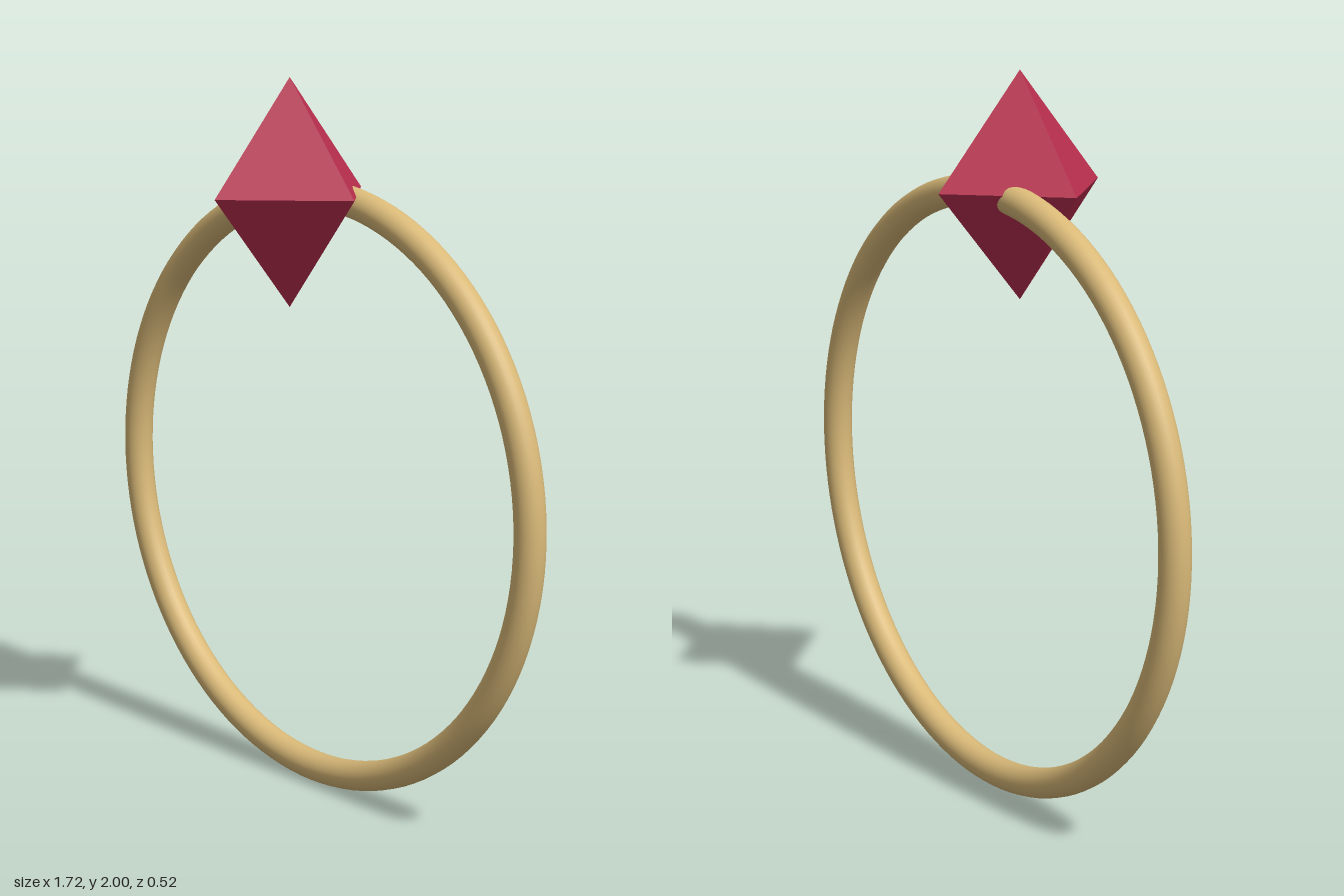
import * as THREE from 'three';

export function createModel() {
  const model = new THREE.Group();
  model.name = 'gemRing';

  const gold = new THREE.MeshStandardMaterial({ color: 0xd9b978 });
  gold.name = 'gold';
  const crimson = new THREE.MeshStandardMaterial({ color: 0xb82e4e });
  crimson.name = 'crimson';

  // Upright band, set behind the middle of the gem
  const band = new THREE.Mesh(new THREE.TorusGeometry(0.82, 0.042, 24, 128), gold);
  band.name = 'band';
  band.position.set(0, 0.862, -0.1);
  model.add(band);

  // Eight-sided gem, stretched upwards, points along the axes
  const gem = new THREE.Mesh(new THREE.OctahedronGeometry(1, 0).scale(0.26, 0.31, 0.26), crimson);
  gem.name = 'gem';
  gem.geometry.computeVertexNormals();
  gem.position.y = 1.69;
  model.add(gem);

  return model;
}
